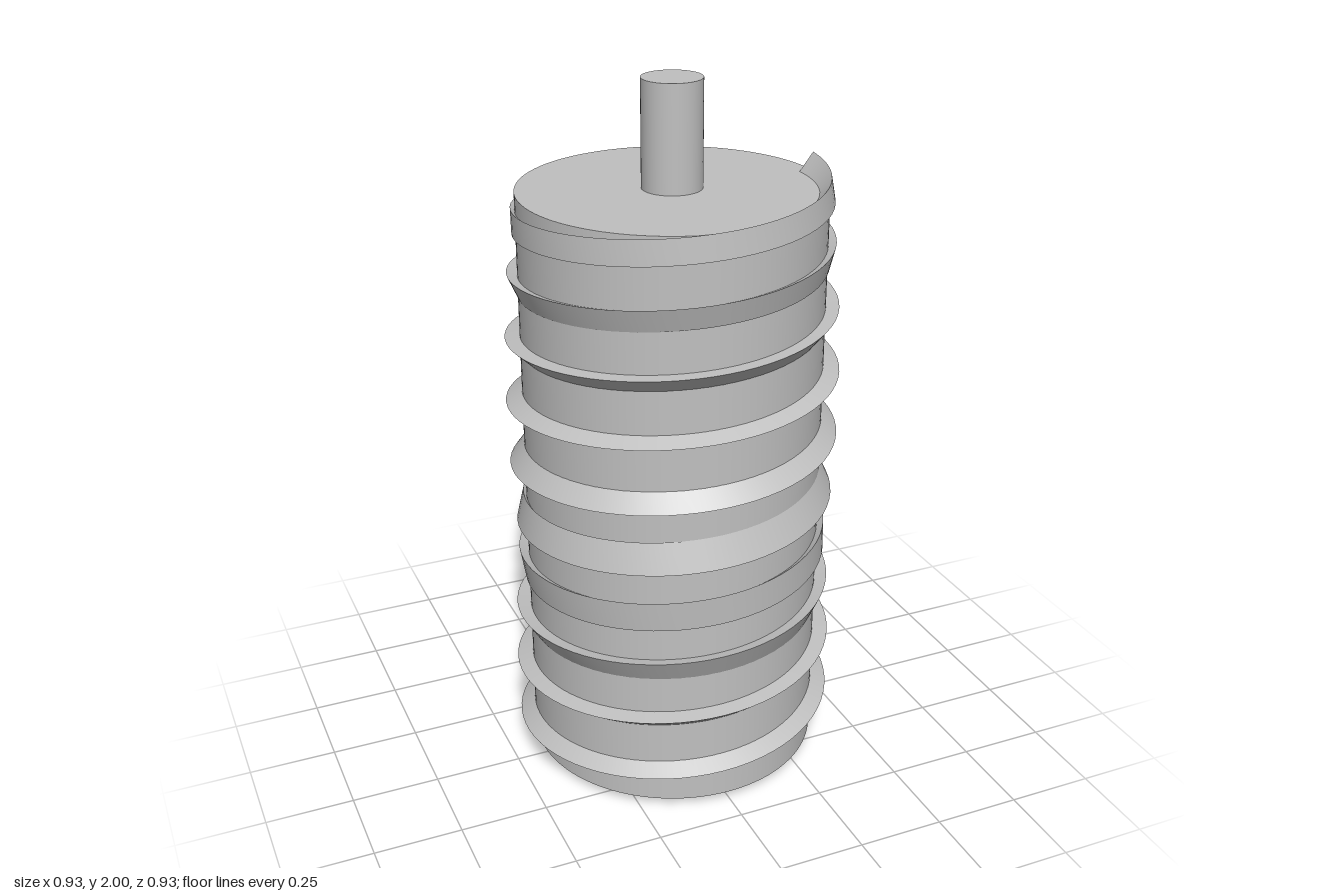
import * as THREE from 'three';

const TURNS = 10, STEPS = 720;
const PATH_RADIUS = 0.4135, Y_START = 0.026, Y_END = 1.706;
const TWIST = THREE.MathUtils.degToRad(232);
// Triangular thread section, offsets (radial, up), counter-clockwise
const SECTION = [[-0.045, -0.026], [0.045, -0.026], [0, 0.027]];

// Point on the thread: corner k of the slowly rolling section at fraction t
function threadPoint(k, t) {
  const angle = t * TURNS * Math.PI * 2;
  const roll = t * TWIST;
  const [a, b] = SECTION[k];
  const r = PATH_RADIUS + a * Math.cos(roll) - b * Math.sin(roll);
  const y = Y_START + t * (Y_END - Y_START) + a * Math.sin(roll) + b * Math.cos(roll);
  return [r * Math.cos(angle), y, -r * Math.sin(angle)];
}

function threadGeometry() {
  const positions = [], index = [];
  // Three strips, each with its own vertices so the ridges stay sharp
  for (let k = 0; k < 3; k++) {
    const base = positions.length / 3;
    for (let i = 0; i <= STEPS; i++) {
      positions.push(...threadPoint(k, i / STEPS), ...threadPoint((k + 1) % 3, i / STEPS));
      if (i === STEPS) continue;
      const p = base + i * 2;
      index.push(p, p + 2, p + 1, p + 1, p + 2, p + 3);
    }
  }
  // End caps
  for (const [t, order] of [[0, [0, 1, 2]], [1, [2, 1, 0]]]) {
    const base = positions.length / 3;
    for (const k of order) positions.push(...threadPoint(k, t));
    index.push(base, base + 1, base + 2);
  }
  const geometry = new THREE.BufferGeometry();
  geometry.setAttribute('position', new THREE.Float32BufferAttribute(positions, 3));
  geometry.setIndex(index);
  geometry.computeVertexNormals();
  return geometry;
}

export function createModel() {
  const group = new THREE.Group();
  group.name = 'wormScrew';
  const metal = new THREE.MeshStandardMaterial({ color: 0xc0c0c0 });
  metal.name = 'greyMetal';

  const add = (name, geometry, y = 0) => {
    const mesh = new THREE.Mesh(geometry, metal);
    mesh.name = name;
    mesh.position.y = y;
    group.add(mesh);
  };

  // Core drum, drive shaft and spiral thread
  add('core', new THREE.CylinderGeometry(0.42, 0.42, Y_END - Y_START, 96), (Y_START + Y_END) / 2);
  add('shaft', new THREE.CylinderGeometry(0.083, 0.083, 2 - Y_END, 48), (2 + Y_END) / 2);
  add('thread', threadGeometry());
  return group;
}
